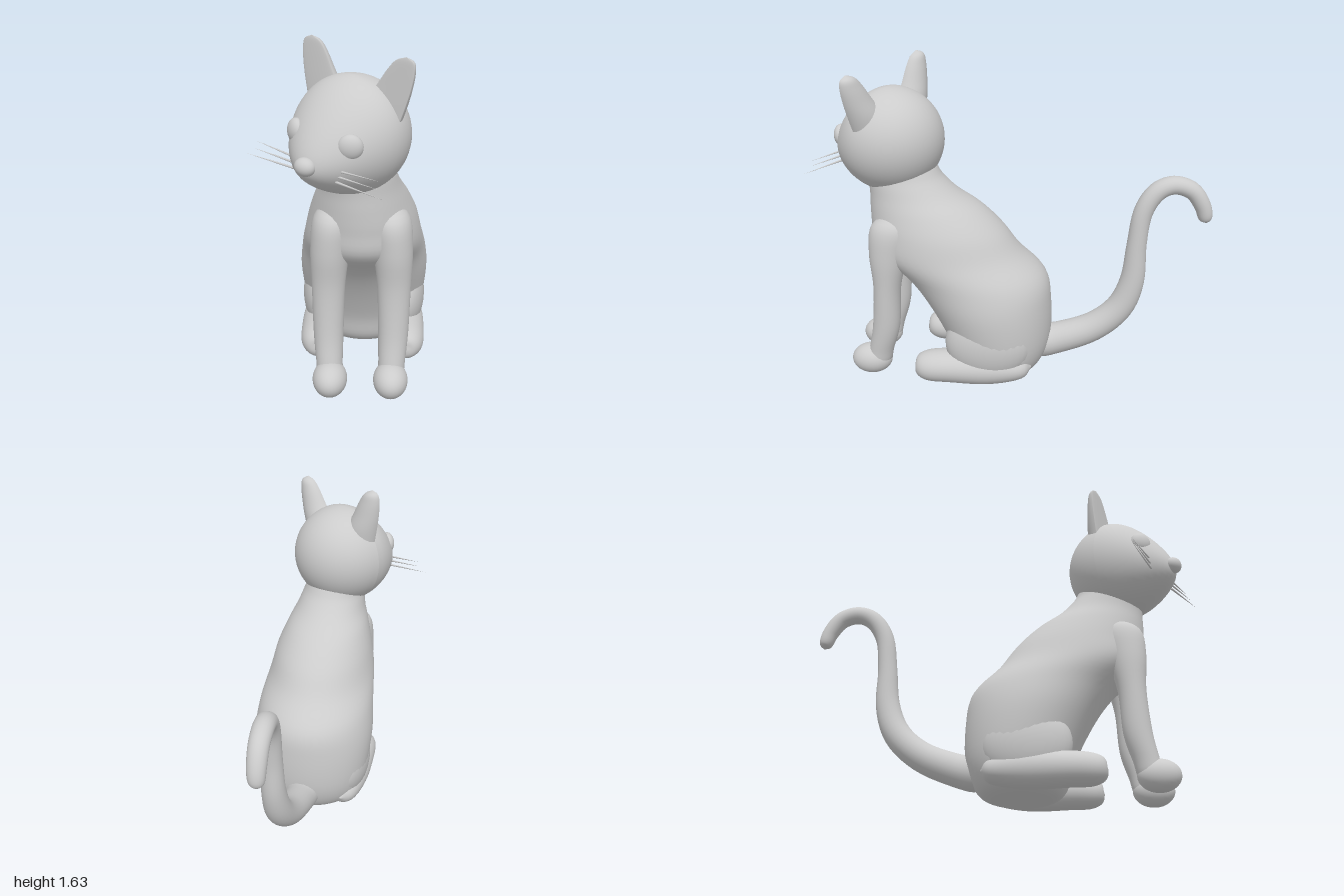
import * as THREE from 'three';

const material = new THREE.MeshStandardMaterial({ color: 0xcccccc, side: THREE.DoubleSide });
const MID = 0.095; // x of the body's plane of symmetry

function add(parent, geometry, name) {
  const mesh = new THREE.Mesh(geometry, material);
  mesh.name = name;
  parent.add(mesh);
  return mesh;
}

// Smooth skin over elliptical sections [x, y, z, radiusX, radiusN].
// level: sections stay horizontal; otherwise they follow the path.
// front: factor on the front half of each section (negative makes a cup).
function loft(rows, { level = true, steps = 5, sides = 32, front = 1 } = {}) {
  const path = new THREE.CatmullRomCurve3(rows.map(r => new THREE.Vector3(r[0], r[1], r[2])), false, 'catmullrom', 0.5);
  const radii = new THREE.CatmullRomCurve3(rows.map(r => new THREE.Vector3(r[3], r[4], 0)), false, 'catmullrom', 0.5);
  const n = (rows.length - 1) * steps;
  const X = new THREE.Vector3(1, 0, 0);
  const positions = [], index = [];
  for (let i = 0; i <= n; i++) {
    const c = path.getPoint(i / n), r = radii.getPoint(i / n);
    const N = level ? new THREE.Vector3(0, 0, 1) : X.clone().cross(path.getTangent(i / n)).normalize();
    for (let j = 0; j < sides; j++) {
      const a = (j / sides) * Math.PI * 2, s = Math.sin(a);
      const p = c.clone().addScaledVector(X, Math.max(0, r.x) * Math.cos(a))
        .addScaledVector(N, Math.max(0, r.y) * s * (s > 0 ? front : 1));
      positions.push(p.x, p.y, p.z);
      if (i < n) {
        const k = (j + 1) % sides, o = i * sides, q = o + sides;
        index.push(o + j, q + j, o + k, o + k, q + j, q + k);
      }
    }
  }
  const g = new THREE.BufferGeometry();
  g.setAttribute('position', new THREE.Float32BufferAttribute(positions, 3));
  g.setIndex(index);
  g.computeVertexNormals();
  return g;
}

function ellipsoid(parent, name, center, radii) {
  const mesh = add(parent, new THREE.SphereGeometry(1, 32, 20), name);
  mesh.position.set(...center);
  mesh.scale.set(...radii);
  return mesh;
}

function createHead() {
  const head = new THREE.Group();
  head.name = 'head';

  // Skull: a ball drawn out and lowered towards the muzzle
  const skull = new THREE.SphereGeometry(1, 48, 32);
  const p = skull.attributes.position;
  for (let i = 0; i < p.count; i++) {
    const x = p.getX(i), y = p.getY(i), z = p.getZ(i), f = Math.max(0, z);
    p.setXYZ(i, x * (1 - 0.2 * f * f), y * (1 - 0.3 * f * f) - 0.3 * f * f, z * (1 + 0.2 * f));
  }
  skull.scale(0.265, 0.262, 0.265);
  skull.computeVertexNormals();
  add(head, skull, 'skull');
  ellipsoid(head, 'nose', [0, -0.07, 0.315], [0.048, 0.04, 0.04]);

  for (const s of [-1, 1]) {
    const side = s > 0 ? 'left' : 'right';
    const eye = ellipsoid(head, side + 'Eye', [s * 0.14, 0.025, 0.205], [0.055, 0.055, 0.035]);
    eye.rotation.y = s * 0.55;

    // Ear: a rounded leaf cupped at the front
    add(head, loft([
      [s * 0.14, 0.11, 0, 0.1, 0.085],
      [s * 0.165, 0.18, 0, 0.094, 0.08],
      [s * 0.195, 0.25, 0, 0.08, 0.065],
      [s * 0.22, 0.32, 0, 0.064, 0.05],
      [s * 0.235, 0.365, 0, 0.042, 0.035],
      [s * 0.24, 0.385, 0, 0, 0],
    ], { front: 0.1 }), side + 'Ear');

    // Whiskers: three thin spikes pointing sideways
    for (let k = 0; k < 3; k++) {
      const from = new THREE.Vector3(s * 0.11, -0.075 - k * 0.025, 0.245);
      const to = new THREE.Vector3(s * (k === 2 ? 0.36 : 0.32), -0.06 - k * 0.03, 0.245 + k * 0.012);
      const dir = to.clone().sub(from);
      const whisker = add(head, new THREE.ConeGeometry(0.006, dir.length(), 8), side + 'Whisker' + (k + 1));
      whisker.position.copy(from).add(to).multiplyScalar(0.5);
      whisker.quaternion.setFromUnitVectors(new THREE.Vector3(0, 1, 0), dir.normalize());
    }
  }
  // Head turned to its right and tipped a little
  head.position.set(0.045, 1.24, 0.6);
  head.rotation.set(0, -0.57, -0.09, 'YXZ');
  return head;
}

export function createModel() {
  const cat = new THREE.Group();
  cat.name = 'sittingCat';

  // Torso from the seat up into the neck
  add(cat, loft([
    [MID, 0.012, 0.08, 0, 0],
    [MID, 0.018, 0.07, 0.16, 0.15],
    [MID, 0.07, 0.065, 0.26, 0.225],
    [MID, 0.2, 0.06, 0.302, 0.268],
    [MID, 0.4, 0.11, 0.322, 0.32],
    [MID, 0.55, 0.18, 0.308, 0.36],
    [MID, 0.68, 0.315, 0.282, 0.37],
    [MID, 0.8, 0.37, 0.255, 0.335],
    [0.09, 0.9, 0.425, 0.22, 0.285],
    [0.085, 0.98, 0.485, 0.186, 0.225],
    [0.075, 1.06, 0.53, 0.165, 0.185],
    [0.06, 1.15, 0.56, 0.14, 0.15],
    [0.06, 1.17, 0.56, 0, 0],
  ], { sides: 48 }), 'torso');

  for (const s of [-1, 1]) {
    const side = s > 0 ? 'left' : 'right';
    const x = d => MID + s * d;

    // Front leg and paw
    add(cat, loft([
      [x(0.14), 0.05, 0.69, 0, 0],
      [x(0.14), 0.08, 0.685, 0.055, 0.06],
      [x(0.145), 0.16, 0.665, 0.062, 0.064],
      [x(0.15), 0.3, 0.632, 0.07, 0.07],
      [x(0.15), 0.52, 0.617, 0.077, 0.07],
      [x(0.143), 0.7, 0.6, 0.09, 0.1],
      [x(0.13), 0.85, 0.57, 0.085, 0.11],
      [x(0.12), 0.92, 0.55, 0, 0],
    ]), side + 'FrontLeg');
    ellipsoid(cat, side + 'FrontPaw', [x(0.14), 0.092, 0.72], [0.08, 0.08, 0.105]);

    // Thigh and hind foot
    ellipsoid(cat, side + 'Thigh', [x(0.2), 0.24, 0.1], [0.115, 0.2, 0.22]);
    add(cat, loft([
      [x(0.2), 0.11, -0.12, 0, 0],
      [x(0.2), 0.11, -0.07, 0.07, 0.06],
      [x(0.21), 0.11, 0.1, 0.098, 0.09],
      [x(0.215), 0.11, 0.3, 0.095, 0.085],
      [x(0.215), 0.105, 0.41, 0.085, 0.077],
      [x(0.215), 0.1, 0.465, 0.052, 0.05],
      [x(0.215), 0.1, 0.48, 0, 0],
    ], { level: false }), side + 'HindFoot');
  }

  // Tail sweeping back, up and over into a hook
  add(cat, loft([
    [MID, 0.15, -0.08, 0, 0],
    [MID, 0.155, -0.14, 0.085, 0.085],
    [MID, 0.175, -0.25, 0.083, 0.082],
    [0.1, 0.25, -0.43, 0.078, 0.075],
    [0.105, 0.37, -0.56, 0.07, 0.07],
    [0.11, 0.53, -0.62, 0.06, 0.062],
    [0.11, 0.73, -0.633, 0.052, 0.05],
    [0.105, 0.9, -0.655, 0.05, 0.048],
    [0.095, 1.005, -0.715, 0.05, 0.048],
    [0.085, 1.043, -0.8, 0.049, 0.046],
    [0.08, 1.015, -0.89, 0.047, 0.044],
    [0.077, 0.94, -0.945, 0.044, 0.041],
    [0.075, 0.87, -0.967, 0.035, 0.033],
    [0.075, 0.843, -0.973, 0, 0],
  ], { level: false, sides: 24 }), 'tail');

  cat.add(createHead());
  return cat;
}
